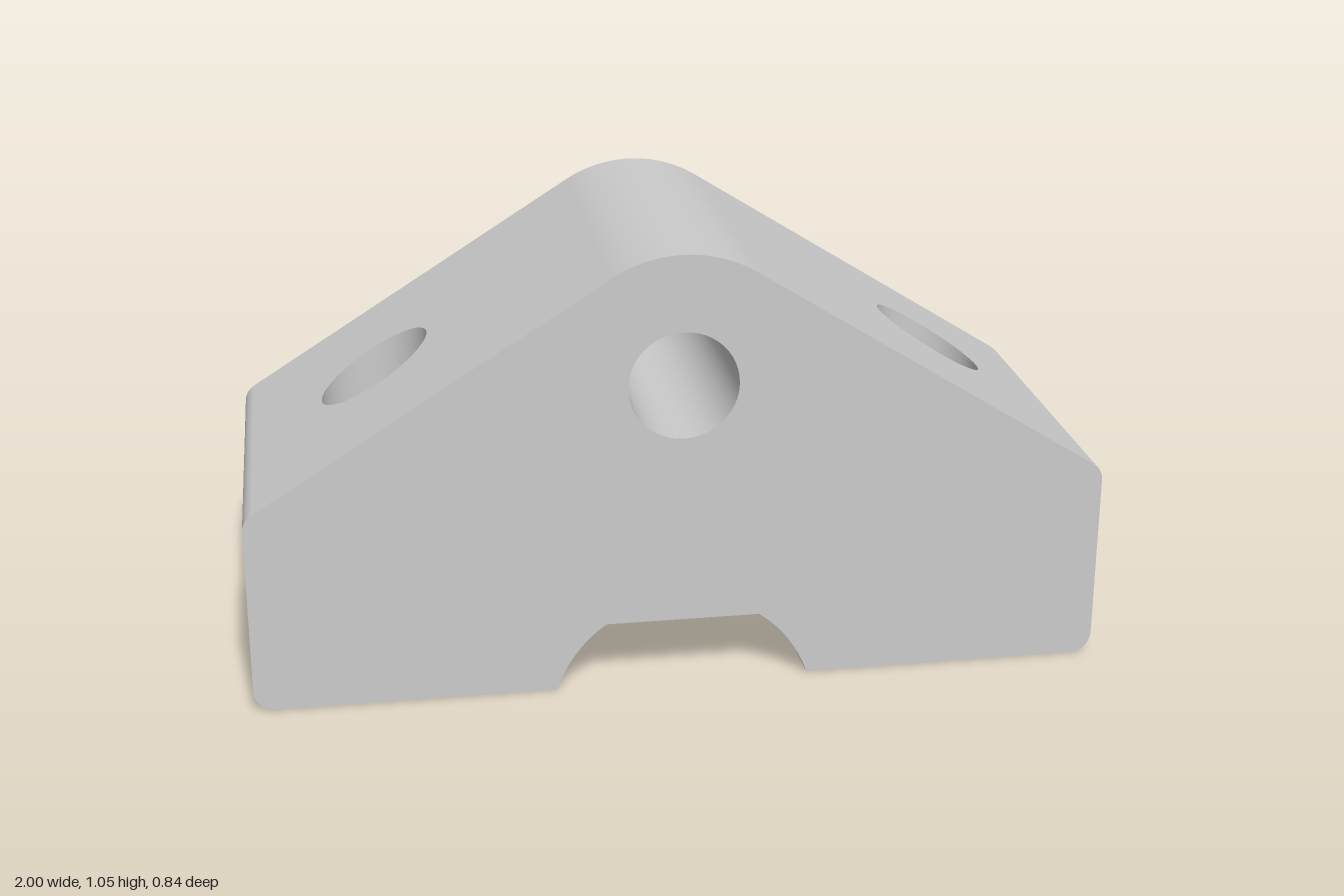
import * as THREE from 'three';

const HALF_DEPTH = 0.42, BORE_R = 0.1275, BORE_X = 0.68, SEGS = 48;
const APEX_R = 0.308, APEX_Y = 1.05 - APEX_R, FILLET = 0.05;
const TILT = Math.atan(0.63);                                  // roof slope
const roofY = (x) => APEX_Y + APEX_R / Math.cos(TILT) - Math.abs(x) * Math.tan(TILT);
const SHOULDER_Y = roofY(1 - FILLET) - FILLET / Math.cos(TILT);
const NOTCH_R = 0.312, NOTCH_Y = -0.094;
const NOTCH_LOW = Math.asin(-NOTCH_Y / NOTCH_R), NOTCH_HIGH = Math.asin((0.16 - NOTCH_Y) / NOTCH_R);

// Rounded parts of the outline, counterclockwise; straight panels join them
const PI = Math.PI, C = 1 - FILLET;
const arcs = [
  { name: 'rightFootFillet', x: C, y: FILLET, r: FILLET, from: -PI / 2, to: 0 },
  { name: 'rightShoulderFillet', x: C, y: SHOULDER_Y, r: FILLET, from: 0, to: PI / 2 - TILT },
  { name: 'apexCurve', x: 0, y: APEX_Y, r: APEX_R, from: PI / 2 - TILT, to: PI / 2 + TILT },
  { name: 'leftShoulderFillet', x: -C, y: SHOULDER_Y, r: FILLET, from: PI / 2 + TILT, to: PI },
  { name: 'leftFootFillet', x: -C, y: FILLET, r: FILLET, from: PI, to: PI * 1.5 },
  { name: 'leftNotchCurve', x: 0, y: NOTCH_Y, r: NOTCH_R, from: PI - NOTCH_LOW, to: PI - NOTCH_HIGH },
  { name: 'rightNotchCurve', x: 0, y: NOTCH_Y, r: NOTCH_R, from: NOTCH_HIGH, to: NOTCH_LOW },
];
const panelNames = ['rightSide', 'rightRoof', 'leftRoof', 'leftSide', 'leftBase', 'notchCeiling', 'rightBase'];
const pointOn = (arc, t) => {
  const a = arc.from + (arc.to - arc.from) * t;
  return new THREE.Vector2(arc.x + arc.r * Math.cos(a), arc.y + arc.r * Math.sin(a));
};

function hole(x, y, rx, ry) {
  return new THREE.Path().absellipse(x, y, rx, ry, 0, PI * 2, true);
}

// Curved strip running the full depth, with radial normals
function curvedStrip(arc) {
  const g = new THREE.PlaneGeometry(1, 1, 20, 1);
  const p = g.attributes.position, n = g.attributes.normal;
  const sign = arc.to > arc.from ? 1 : -1;
  for (let i = 0; i < p.count; i++) {
    const q = pointOn(arc, p.getX(i) + 0.5);
    n.setXYZ(i, sign * (q.x - arc.x) / arc.r, sign * (q.y - arc.y) / arc.r, 0);
    p.setXYZ(i, q.x, q.y, p.getY(i) * 2 * HALF_DEPTH);
  }
  return g;
}

// Flat panel from a to b, pierced where a vertical bore crosses it
function flatPanel(a, b) {
  const d = b.clone().sub(a), len = d.length();
  d.normalize();
  const s = new THREE.Shape();
  s.moveTo(0, -HALF_DEPTH).lineTo(len, -HALF_DEPTH).lineTo(len, HALF_DEPTH).lineTo(0, HALF_DEPTH).closePath();
  for (const x of [-BORE_X, BORE_X]) {
    if (x > Math.min(a.x, b.x) && x < Math.max(a.x, b.x)) {
      s.holes.push(hole((x - a.x) / d.x, 0, BORE_R / Math.abs(d.x), BORE_R));
    }
  }
  const m = new THREE.Matrix4().makeBasis(
    new THREE.Vector3(d.x, d.y, 0), new THREE.Vector3(0, 0, 1), new THREE.Vector3(d.y, -d.x, 0));
  m.setPosition(a.x, a.y, 0);
  return new THREE.ShapeGeometry(s, SEGS / 2).applyMatrix4(m);
}

export function createModel() {
  const group = new THREE.Group();
  group.name = 'mountingBlock';
  const outside = new THREE.MeshStandardMaterial({ color: 0xcccccc });
  const inside = new THREE.MeshStandardMaterial({ color: 0xcccccc, side: THREE.BackSide });
  const add = (name, geometry, material = outside) => {
    const mesh = new THREE.Mesh(geometry, material);
    mesh.name = name;
    group.add(mesh);
  };

  // Skin around the outline
  const outline = [];
  arcs.forEach((arc, i) => {
    for (let k = 0; k <= 20; k++) outline.push(pointOn(arc, k / 20));
    add(arc.name, curvedStrip(arc));
    add(panelNames[i], flatPanel(pointOn(arc, 1), pointOn(arcs[(i + 1) % arcs.length], 0)));
  });

  // Front and back faces with the cross bore
  const face = new THREE.Shape(outline);
  face.holes.push(hole(0, APEX_Y, BORE_R, BORE_R));
  const front = new THREE.ShapeGeometry(face, SEGS / 2).translate(0, 0, HALF_DEPTH);
  add('frontFace', front);
  add('backFace', front.clone().rotateY(PI));
  add('crossBore', new THREE.CylinderGeometry(BORE_R, BORE_R, 2 * HALF_DEPTH, SEGS, 1, true)
    .rotateX(PI / 2).translate(0, APEX_Y, 0), inside);

  // Vertical bores, cut off along the roof slope
  for (const side of [-1, 1]) {
    const g = new THREE.CylinderGeometry(BORE_R, BORE_R, 1, SEGS, 1, true).translate(side * BORE_X, 0, 0);
    const p = g.attributes.position;
    for (let i = 0; i < p.count; i++) p.setY(i, p.getY(i) > 0 ? roofY(p.getX(i)) : 0);
    add(side > 0 ? 'leftBoltBore' : 'rightBoltBore', g, inside);
  }
  // The model's own left is +x
  const swap = (n) => n.replace(/^(left|right)/, (w) => (w === 'left' ? 'right' : 'left'));
  group.children.forEach((m) => { if (!m.name.endsWith('BoltBore')) m.name = swap(m.name); });
  return group;
}
